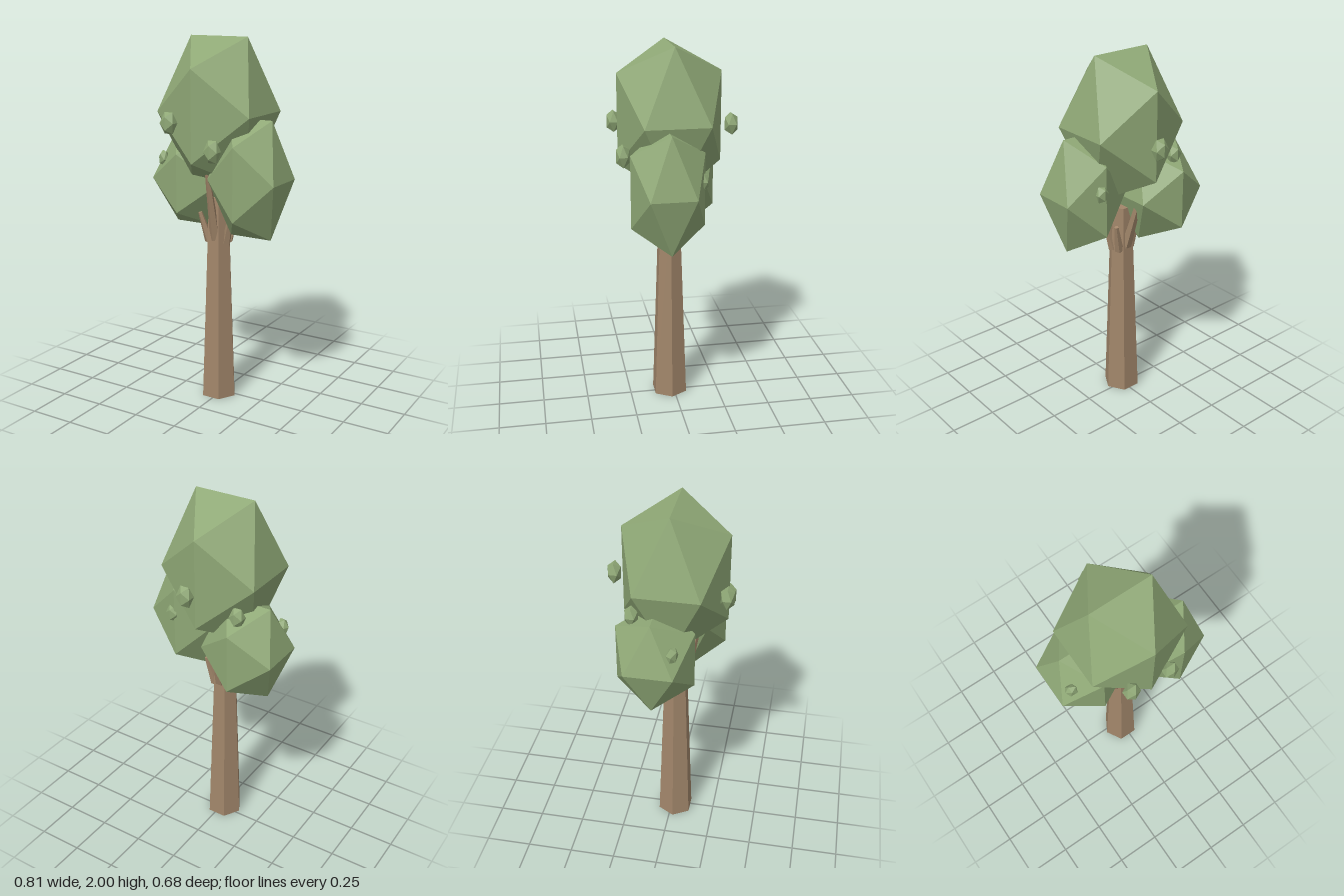
import * as THREE from 'three';

export function createModel() {
  const tree = new THREE.Group();
  tree.name = 'tree';
  const bark = new THREE.MeshStandardMaterial({ color: 0xa1866a, flatShading: true });
  bark.name = 'bark';
  const leaf = new THREE.MeshStandardMaterial({ color: 0x8fa876, flatShading: true });
  leaf.name = 'leaf';

  const add = (name, geometry, material) => {
    const mesh = new THREE.Mesh(geometry, material);
    mesh.name = name;
    tree.add(mesh);
    return mesh;
  };

  // Six-sided tapering trunk
  add('trunk', new THREE.CylinderGeometry(0.06, 0.1025, 1.15, 6, 1, false, Math.PI / 6), bark)
    .position.set(-0.012, 0.575, 0.022);

  // Tapered branches: start, end, base radius, tip radius
  const up = new THREE.Vector3(0, 1, 0);
  const branches = [
    ['frontBranch', [-0.01, 0.92, 0.06], [-0.01, 1.34, 0.15], 0.03, 0.011],
    ['backBranch', [-0.01, 0.92, -0.02], [-0.03, 1.32, -0.14], 0.03, 0.011],
    ['rightBranch', [-0.06, 0.9, 0.04], [-0.1, 1.06, 0.07], 0.026, 0.012],
    ['leftBranch', [0.04, 0.9, 0.03], [0.08, 1.06, 0.05], 0.026, 0.012],
    ['backLeftBranch', [0.03, 0.9, -0.01], [0.07, 1.06, -0.035], 0.026, 0.012],
    ['backRightBranch', [-0.05, 0.9, 0], [-0.09, 1.08, -0.03], 0.026, 0.012],
  ];
  for (const [name, from, to, base, tip] of branches) {
    const a = new THREE.Vector3(...from), b = new THREE.Vector3(...to);
    const dir = b.clone().sub(a);
    const mesh = add(name, new THREE.CylinderGeometry(tip, base, dir.length(), 5), bark);
    mesh.position.copy(a).add(b).multiplyScalar(0.5);
    mesh.quaternion.setFromUnitVectors(up, dir.normalize());
  }

  // Faceted foliage: centre, radii, turn about y, tilt about z
  const foliage = [
    ['mainCrown', [-0.01, 1.61, 0.02], [0.325, 0.458, 0.325]],
    ['rightCrown', [-0.198, 1.22, -0.053], [0.243, 0.306, 0.243]],
    ['leftCrown', [0.211, 1.275, 0.065], [0.228, 0.37, 0.228]],
    ['leafTuft1', [0.014, 1.57, -0.307], [0.047, 0.065, 0.041]],
    ['leafTuft2', [-0.14, 1.573, 0.303], [0.047, 0.065, 0.041]],
    ['leafTuft3', [0.107, 1.443, 0.283], [0.047, 0.068, 0.041]],
    ['leafTuft4', [-0.338, 1.333, 0.061], [0.036, 0.05, 0.03], -0.5, -0.15],
    ['leafTuft5', [-0.205, 1.455, -0.172], [0.044, 0.06, 0.041]],
    ['leafTuft6', [0.23, 1.325, -0.11], [0.04, 0.055, 0.04]],
  ];
  for (const [name, centre, radii, turn = 0, tilt = 0] of foliage) {
    const mesh = add(name, new THREE.IcosahedronGeometry(1, 0), leaf);
    mesh.position.set(...centre);
    mesh.scale.set(...radii);
    mesh.rotation.set(0, turn, tilt);
  }
  return tree;
}
